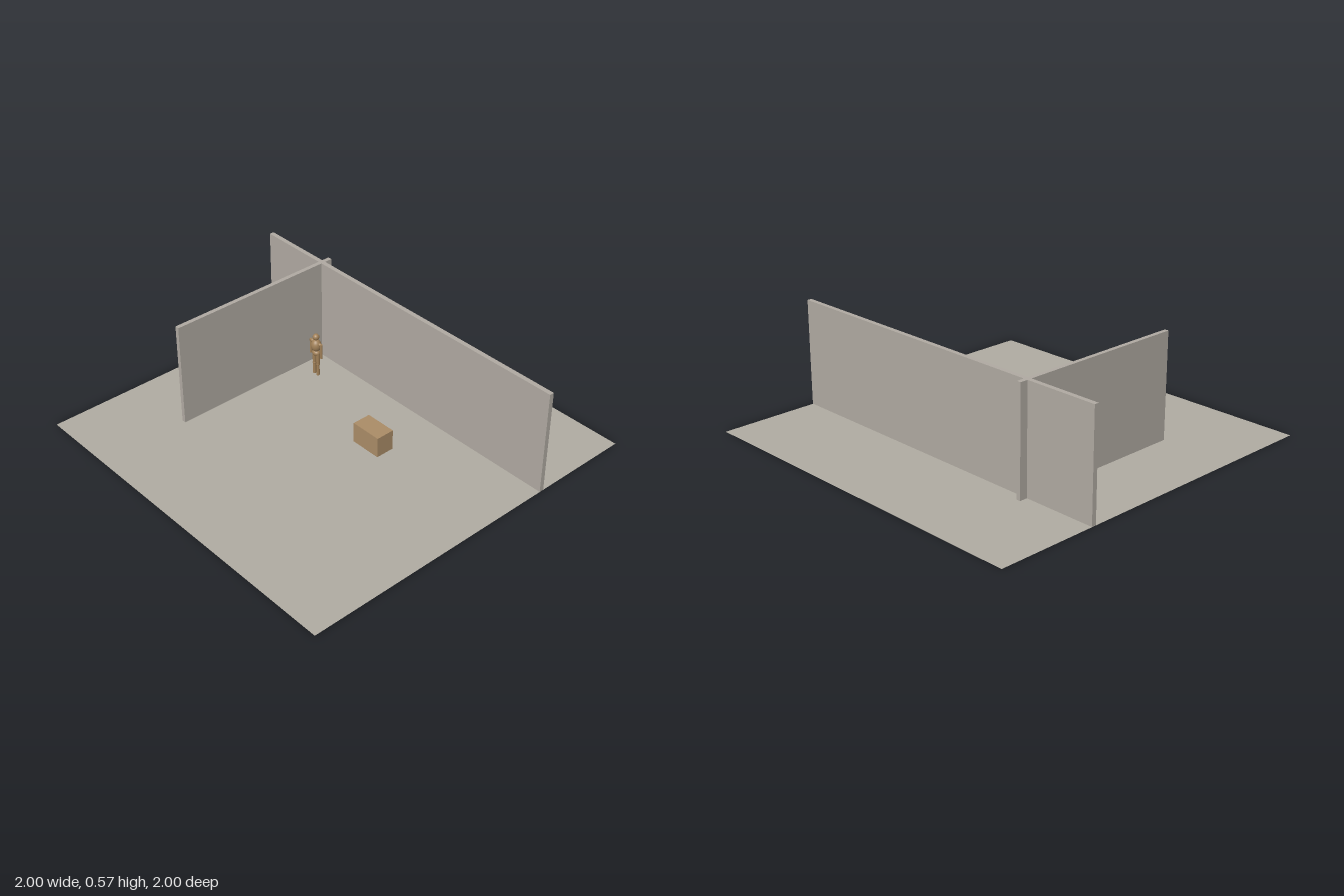
import * as THREE from 'three';

export function createModel() {
  const model = new THREE.Group();
  const material = (name, color, side = THREE.FrontSide) => {
    const m = new THREE.MeshStandardMaterial({ color, side });
    m.name = name;
    return m;
  };
  const floorGrey = material('floorGrey', 0xaeaaa0, THREE.DoubleSide);
  const wallGrey = material('wallGrey', 0xaea8a0);
  const crateBrown = material('crateBrown', 0xa98b66);
  const figureBrown = material('figureBrown', 0xa08058);

  const add = (parent, name, geometry, mat, x, y, z) => {
    const mesh = new THREE.Mesh(geometry, mat);
    mesh.name = name;
    mesh.position.set(x, y, z);
    parent.add(mesh);
    return mesh;
  };
  // Box from its limits on each axis
  const addBox = (name, mat, [x0, x1], [y0, y1], [z0, z1]) =>
    add(model, name, new THREE.BoxGeometry(x1 - x0, y1 - y0, z1 - z0), mat,
      (x0 + x1) / 2, (y0 + y1) / 2, (z0 + z1) / 2);

  // Ground sheet
  add(model, 'floor', new THREE.PlaneGeometry(2, 2).rotateX(-Math.PI / 2), floorGrey, 0, 0, 0);

  // Two crossing walls and a crate, just clear of the floor sheet
  addBox('longWall', wallGrey, [-1, 1], [0.001, 0.574], [-0.457, -0.432]);
  addBox('crossWall', wallGrey, [-0.6, -0.577], [0.001, 0.574], [-0.5, 0.5]);
  addBox('crate', crateBrown, [0.112, 0.286], [0.001, 0.115], [-0.138, -0.035]);

  // Standing figure built from simple rounded parts
  const figure = new THREE.Group();
  figure.name = 'figure';
  figure.position.set(-0.46, 0, -0.288);
  model.add(figure);
  const ball = (name, x, y, z, rx, ry = rx, rz = rx) =>
    add(figure, name, new THREE.SphereGeometry(1, 24, 16).scale(rx, ry, rz), figureBrown, x, y, z);
  const limb = (name, x, y0, y1, bottom, top) =>
    add(figure, name, new THREE.CylinderGeometry(top, bottom, y1 - y0, 16), figureBrown, x, (y0 + y1) / 2, 0);

  ball('head', 0, 0.235, 0, 0.018);
  limb('neck', 0, 0.205, 0.225, 0.008, 0.008);
  ball('chest', 0, 0.183, 0, 0.029, 0.036, 0.028);
  ball('hips', 0, 0.137, 0, 0.025, 0.018, 0.02);
  for (const s of [-1, 1]) {
    ball('shoulder', s * 0.03, 0.2, 0, 0.012, 0.009, 0.009);
    limb('arm', s * 0.041, 0.118, 0.205, 0.006, 0.007);
    limb('thigh', s * 0.014, 0.068, 0.137, 0.009, 0.012);
    ball('knee', s * 0.014, 0.068, 0, 0.01);
    limb('shin', s * 0.014, 0.001, 0.068, 0.009, 0.009);
  }
  return model;
}
